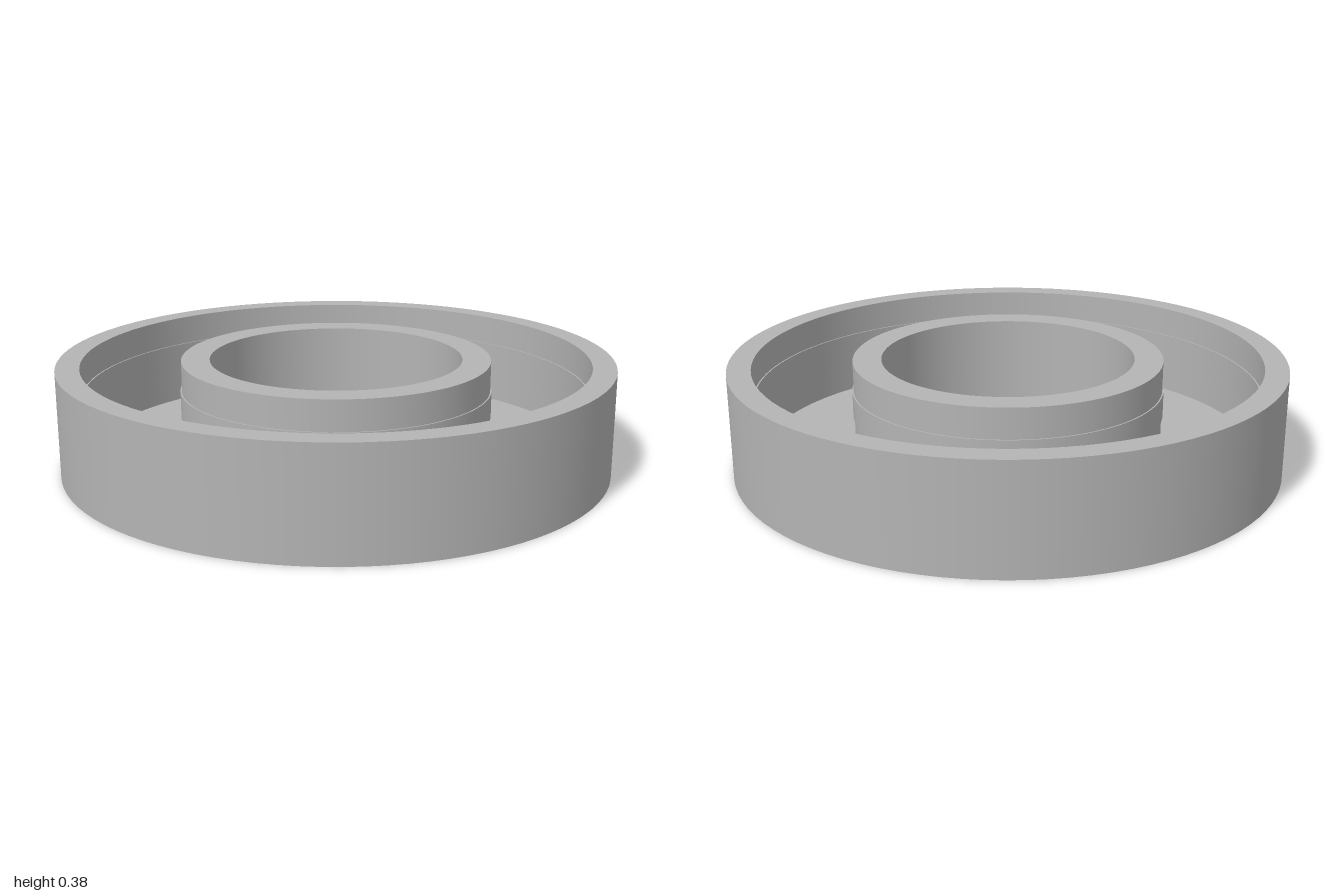
import * as THREE from 'three';
import { mergeGeometries } from 'three/addons/utils/BufferGeometryUtils.js';

const SEGMENTS = 96;
const HEIGHT = 0.385, FLOOR = 0.04;
const RIDGE_LOW = 0.18, RIDGE_HIGH = 0.275;

// Revolve each profile segment on its own: round sides stay smooth, rims stay sharp
function sharpLathe(profile) {
  const points = profile.map(([r, y]) => new THREE.Vector2(r, y));
  const bands = [];
  for (let i = 0; i < points.length - 1; i++) {
    bands.push(new THREE.LatheGeometry([points[i], points[i + 1]], SEGMENTS));
  }
  return mergeGeometries(bands);
}

export function createModel() {
  const group = new THREE.Group();
  const grey = new THREE.MeshStandardMaterial({ color: 0xb4b4b4 });
  grey.name = 'plain grey';

  function addPart(name, profile) {
    const mesh = new THREE.Mesh(sharpLathe(profile), grey);
    mesh.name = name;
    group.add(mesh);
  }

  // Shallow round cup with a low ridge around the inside of its wall
  addPart('outerCup', [
    [0, 0], [1, 0], [1, HEIGHT], [0.915, HEIGHT],
    [0.915, RIDGE_HIGH], [0.91, RIDGE_HIGH], [0.91, RIDGE_LOW], [0.915, RIDGE_LOW],
    [0.915, FLOOR], [0, FLOOR],
  ]);

  // Central ring standing on the floor, with a matching ridge outside
  addPart('innerRing', [
    [0.56, FLOOR], [0.56, RIDGE_LOW], [0.565, RIDGE_LOW], [0.565, RIDGE_HIGH],
    [0.56, RIDGE_HIGH], [0.56, HEIGHT], [0.457, HEIGHT], [0.457, FLOOR],
  ]);

  return group;
}
